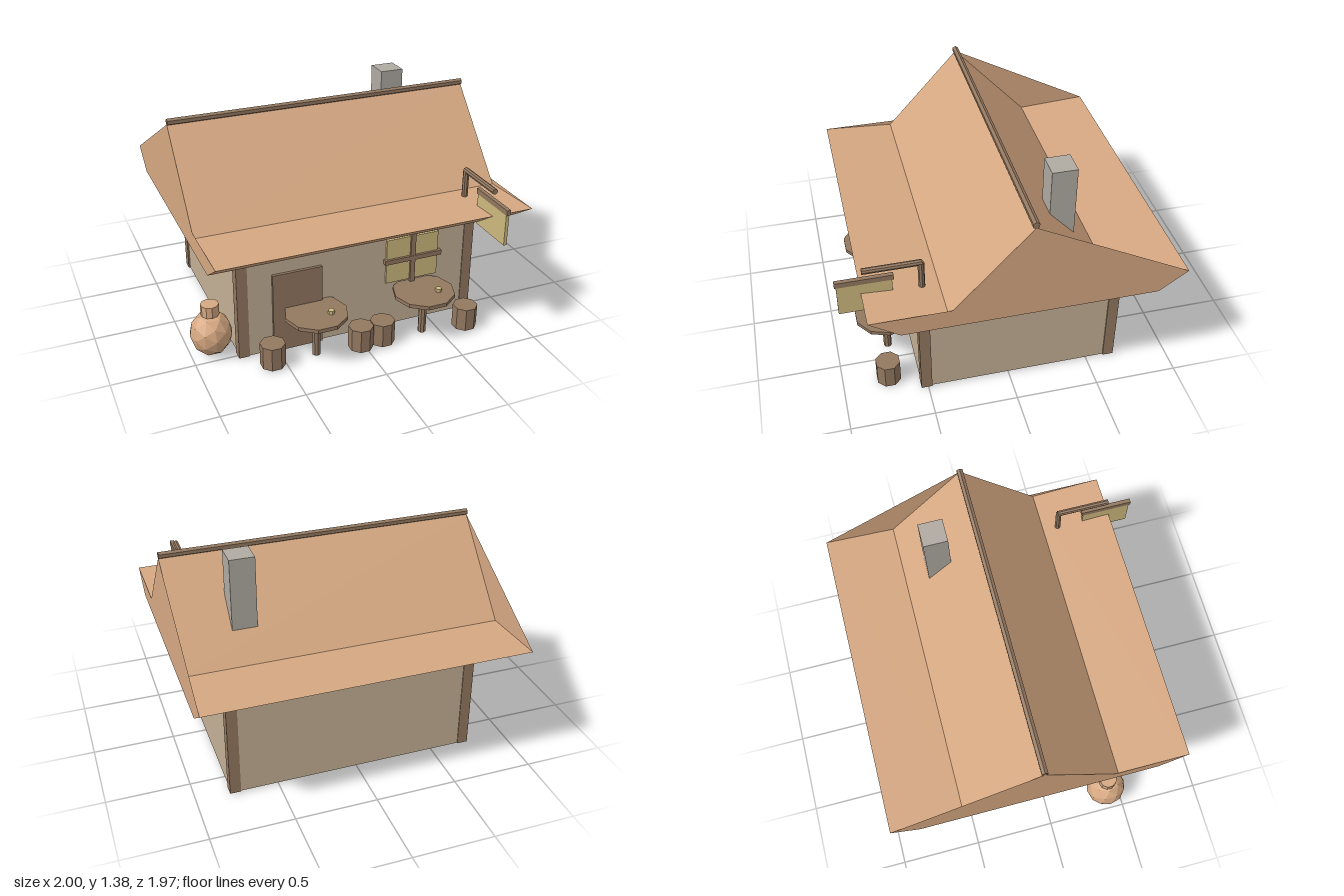
import * as THREE from 'three';

const mat = (color, side = THREE.FrontSide) =>
  new THREE.MeshStandardMaterial({ color, flatShading: true, side });

const wood = mat(0x937860);
const plaster = mat(0xc4b095);
const tile = mat(0xd6a882, THREE.DoubleSide);
const clay = mat(0xd6a882);
const straw = mat(0xceba7e);
const stone = mat(0xb0aaa2);

export function createModel() {
  const model = new THREE.Group();

  const add = (name, geometry, material, parent = model) => {
    const mesh = new THREE.Mesh(geometry, material);
    mesh.name = name;
    parent.add(mesh);
    return mesh;
  };
  // Box given by its limits on each axis
  const box = (name, [x0, x1], [y0, y1], [z0, z1], material, parent) => {
    const mesh = add(name, new THREE.BoxGeometry(x1 - x0, y1 - y0, z1 - z0), material, parent);
    mesh.position.set((x0 + x1) / 2, (y0 + y1) / 2, (z0 + z1) / 2);
    return mesh;
  };
  // Upright cylinder given by its bottom and top
  const post = (name, x, z, r, y0, y1, sides, material, parent) => {
    const mesh = add(name, new THREE.CylinderGeometry(r, r, y1 - y0, sides), material, parent);
    mesh.position.set(x, (y0 + y1) / 2, z);
    return mesh;
  };

  // House body with corner posts
  box('walls', [-0.735, 0.79], [0.01, 0.7], [-0.67, 0.538], plaster);
  for (const x of [-0.712, 0.765]) {
    for (const z of [-0.642, 0.51]) {
      box('cornerPost', [x - 0.033, x + 0.033], [0.008, 0.7], [z - 0.033, z + 0.033], wood);
    }
  }

  // Door
  box('door', [-0.53, -0.22], [0.01, 0.53], [0.52, 0.556], wood);

  // Window with crossed bars
  const win = new THREE.Group();
  win.name = 'window';
  model.add(win);
  box('windowPane', [0.2, 0.545], [0.315, 0.61], [0.52, 0.553], straw, win);
  box('windowBarAcross', [0.185, 0.565], [0.45, 0.48], [0.53, 0.568], wood, win);
  box('windowBarUpright', [0.357, 0.388], [0.3, 0.63], [0.53, 0.566], wood, win);

  // Roof skin: a profile of [z, y] points with upturned eaves, swept along x
  const x0 = -0.94, x1 = 1;
  const profile = [
    [0.67, 0.69], [0.845, 0.81], [0.405, 0.783], [-0.068, 1.297],
    [-0.545, 0.783], [-0.985, 0.81], [-0.815, 0.69],
  ];
  const corners = [];
  profile.forEach(([za, ya], i) => {
    const [zb, yb] = profile[(i + 1) % profile.length];
    corners.push(x0, ya, za, x1, ya, za, x1, yb, zb);
    corners.push(x0, ya, za, x1, yb, zb, x0, yb, zb);
  });
  const skin = new THREE.BufferGeometry();
  skin.setAttribute('position', new THREE.Float32BufferAttribute(corners, 3));
  skin.computeVertexNormals();
  add('roof', skin, tile);

  // Gable ends, which bridge the hollow of the back slope
  const gable = new THREE.Shape([
    [0.67, 0.69], [0.845, 0.81], [0.38, 0.81], [-0.068, 1.297], [-0.985, 0.81], [-0.815, 0.69],
  ].map(([z, y]) => new THREE.Vector2(z, y)));
  for (const x of [x0, x1]) {
    const end = add('gableEnd', new THREE.ShapeGeometry(gable), tile);
    end.rotation.y = -Math.PI / 2;
    end.position.x = x;
  }

  // Ridge beam
  const ridge = add('ridgeBeam', new THREE.CylinderGeometry(0.021, 0.021, x1 - x0, 6), wood);
  ridge.rotation.set(0, 0, Math.PI / 2);
  ridge.rotateY(Math.PI / 6);
  ridge.position.set((x0 + x1) / 2, 1.312, -0.068);

  // Chimney
  box('chimney', [0.52, 0.67], [0.93, 1.38], [-0.4, -0.25], stone);

  // Tables with a small cup each
  for (const [x, z] of [[-0.303, 0.664], [0.391, 0.684]]) {
    const table = new THREE.Group();
    table.name = 'table';
    table.position.set(x, 0, z);
    model.add(table);
    post('tableTop', 0, 0, 0.19, 0.275, 0.299, 10, wood, table).rotation.y = Math.PI / 10;
    post('tableLeg', 0, 0, 0.025, 0.008, 0.28, 8, wood, table);
    post('cup', 0.076, 0.045, 0.02, 0.295, 0.322, 6, straw, table);
  }

  // Stools
  for (const [x, z] of [[-0.577, 0.665], [-0.027, 0.693], [0.118, 0.687], [0.667, 0.722]]) {
    post('stool', x, z, 0.076, 0.008, 0.154, 8, wood).rotation.y = Math.PI / 8;
  }

  // Clay jar beside the wall
  const body = add('jar', new THREE.IcosahedronGeometry(0.128, 1), clay);
  body.scale.y = 1.11;
  body.position.set(-0.872, 0.142, 0.405);
  post('jarNeck', -0.872, 0.405, 0.055, 0.27, 0.34, 10, clay);

  // Hanging board on a bracket above the front eave
  const sign = new THREE.Group();
  sign.name = 'hangingBoard';
  model.add(sign);
  post('bracketPost', 0.742, 0.502, 0.019, 0.75, 0.96, 8, wood, sign);
  const arm = post('bracketArm', 0.742, 0.663, 0.018, 0.795, 1.13, 8, wood, sign);
  arm.rotation.x = Math.PI / 2;
  arm.position.y = 0.96;
  box('boardRail', [0.729, 0.755], [0.878, 0.911], [0.657, 0.985], wood, sign);
  box('board', [0.732, 0.752], [0.684, 0.885], [0.667, 0.976], straw, sign);

  return model;
}
